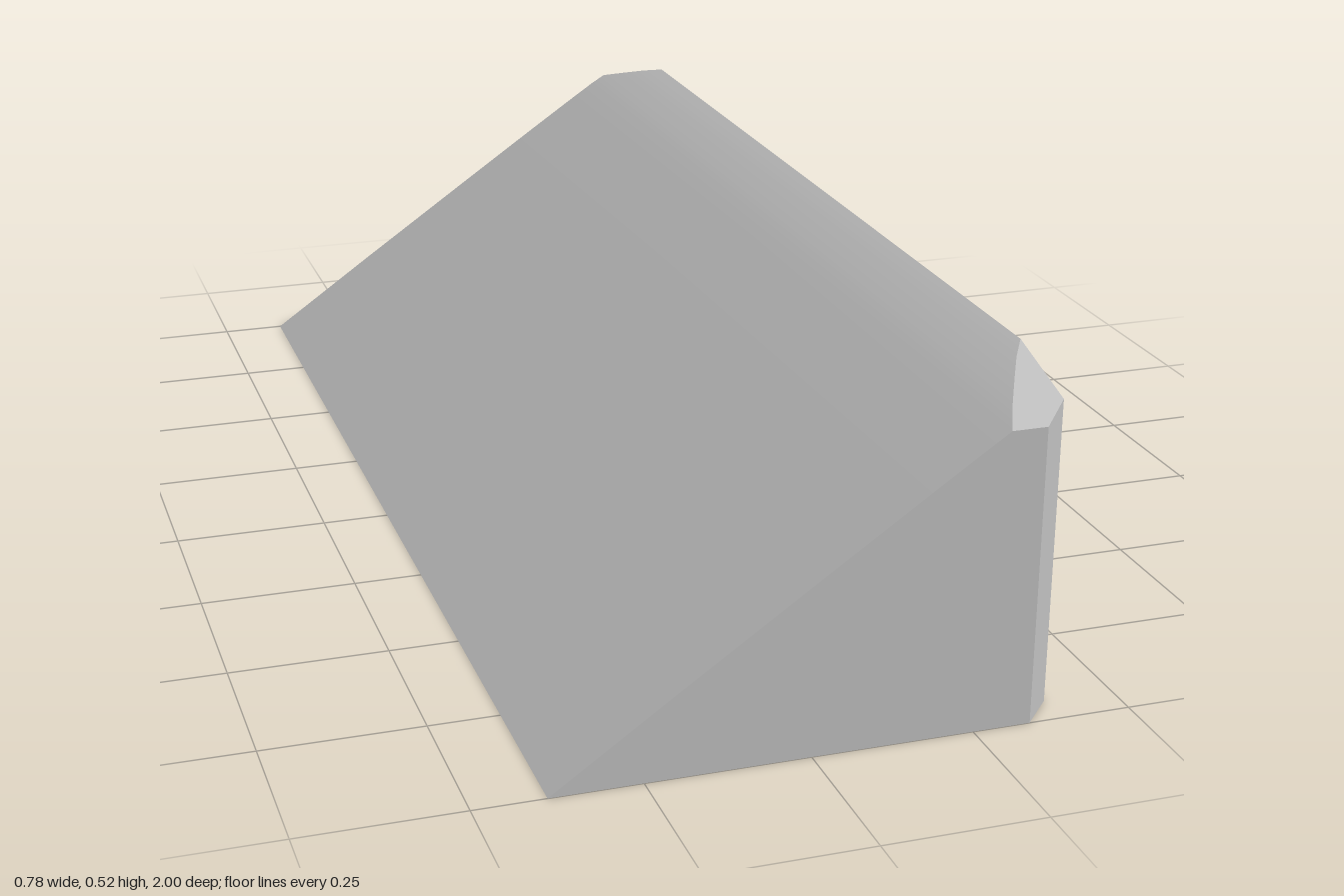
import * as THREE from 'three';
import { toCreasedNormals } from 'three/addons/utils/BufferGeometryUtils.js';

// Slope profile from the thin edge to the tall wall: [x, height]
const PROFILE = [
  [-0.39, 0], [-0.2, 0.133], [0, 0.271], [0.15, 0.374], [0.24, 0.435],
  [0.285, 0.465], [0.31, 0.48], [0.34, 0.496], [0.365, 0.509], [0.39, 0.52],
];
const CUT_Y = 0.465;      // height of the sloped corner cut at the front end
const CUT_SLOPE = 0.275;  // rise of that cut per unit away from the front

// Closed cross-section of the wedge at one x
function section([x, h]) {
  const back = -1 + Math.max(0, x - 0.31) * 1.75;   // back corner chamfer
  const front = 1 - Math.max(0, x - 0.34) * 1.1;    // front corner chamfer
  const cut = Math.min(front, 1 - Math.max(0, h - CUT_Y) / CUT_SLOPE);
  const frontTop = Math.min(h, CUT_Y + CUT_SLOPE * (1 - front));
  return [[0, back], [h, back], [h, cut], [frontTop, front], [0, front]]
    .map(([y, z]) => new THREE.Vector3(x, y, z));
}

function wedgeGeometry() {
  const positions = [];
  const tri = (a, b, c) => {
    if (new THREE.Triangle(a, b, c).getArea() < 1e-7) return;
    for (const p of [a, b, c]) positions.push(p.x, p.y, p.z);
  };
  const rings = PROFILE.map(section);
  // Skin between neighbouring sections
  for (let s = 0; s < rings.length - 1; s++) {
    const a = rings[s], b = rings[s + 1];
    for (let i = 0; i < a.length; i++) {
      const j = (i + 1) % a.length;
      tri(a[i], a[j], b[j]);
      tri(a[i], b[j], b[i]);
    }
  }
  // Tall end wall
  const end = rings[rings.length - 1];
  for (let i = 1; i < end.length - 1; i++) tri(end[0], end[i], end[i + 1]);

  const geometry = new THREE.BufferGeometry();
  geometry.setAttribute('position', new THREE.Float32BufferAttribute(positions, 3));
  return toCreasedNormals(geometry, 0.3);
}

export function createModel() {
  const grey = new THREE.MeshStandardMaterial({ color: 0xc0c0c0 });
  grey.name = 'light grey';

  const wedge = new THREE.Mesh(wedgeGeometry(), grey);
  wedge.name = 'wedgeBlock';

  const model = new THREE.Group();
  model.name = 'wedgeRamp';
  model.add(wedge);
  return model;
}
